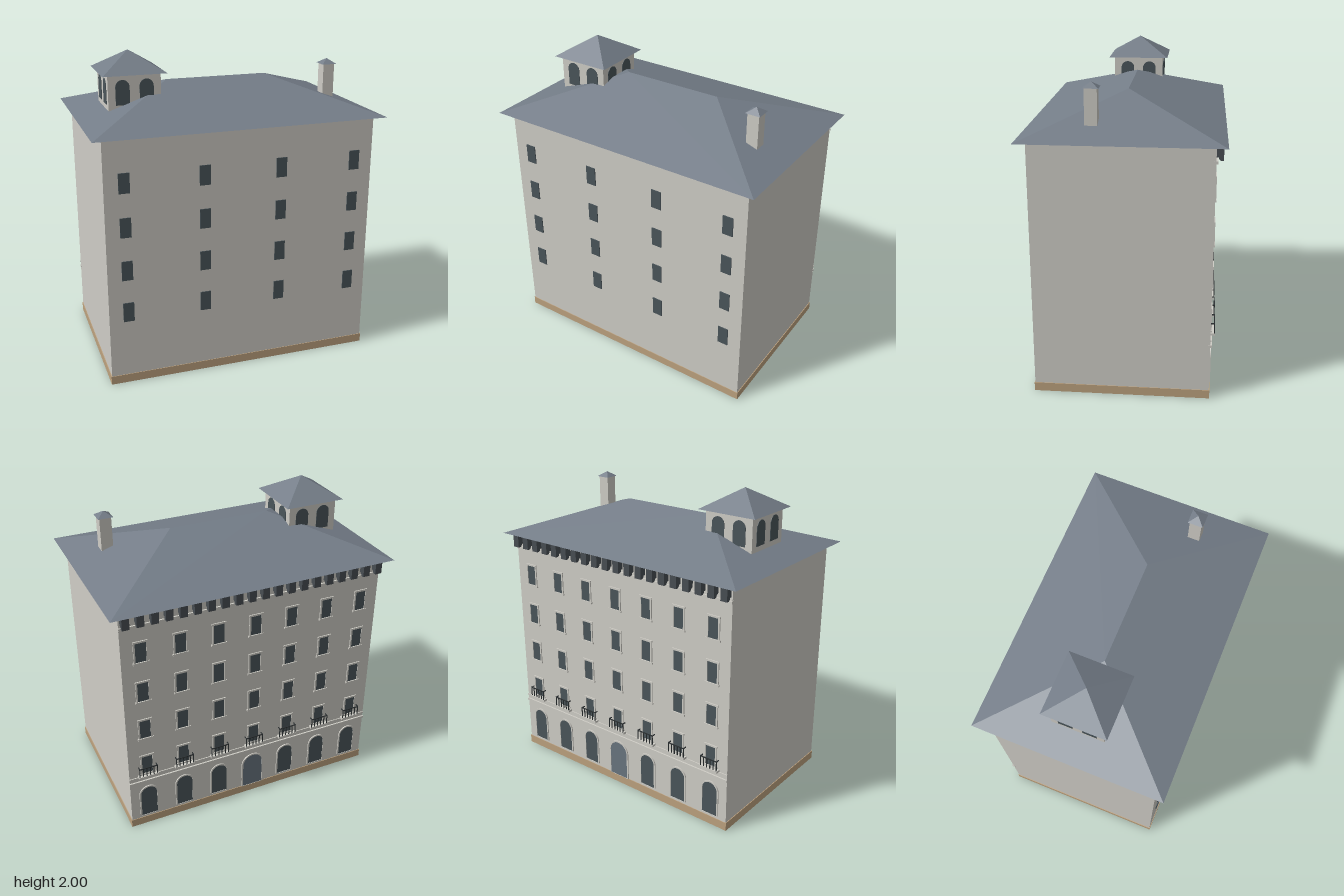
import * as THREE from 'three';
import { ConvexGeometry } from 'three/addons/geometries/ConvexGeometry.js';

const mat = (name, color) => {
  const m = new THREE.MeshStandardMaterial({ color });
  m.name = name;
  return m;
};

export function createModel() {
  const stone = mat('pale stone', 0xcfcdc6);
  const plinthMat = mat('tan plinth', 0xbda27f);
  const slate = mat('slate roof', 0x747d88);
  const glass = mat('dark glass', 0x4a555a);
  const doorMat = mat('grey door', 0x69757f);
  const iron = mat('dark iron', 0x2c3133);
  const corbelMat = mat('dark corbel', 0x484e53);

  const model = new THREE.Group();
  model.name = 'townhouse';

  const add = (parent, name, geometry, material, x = 0, y = 0, z = 0) => {
    const mesh = new THREE.Mesh(geometry, material);
    mesh.name = name;
    mesh.position.set(x, y, z);
    parent.add(mesh);
    return mesh;
  };
  const box = (parent, name, w, h, d, material, x, y, z) =>
    add(parent, name, new THREE.BoxGeometry(w, h, d), material, x, y, z);
  const group = (parent, name, x = 0, y = 0, z = 0, turn = 0) => {
    const g = new THREE.Group();
    g.name = name;
    g.position.set(x, y, z);
    g.rotation.y = turn;
    parent.add(g);
    return g;
  };

  // Hipped roof; a zero ridge makes a pyramid
  const hipRoof = (parent, name, hx, hz, ridge, y0, y1, x, z) => {
    const pts = [];
    for (const sx of [-1, 1]) {
      for (const sz of [-1, 1]) pts.push(new THREE.Vector3(sx * hx, y0, sz * hz));
      if (ridge || sx > 0) pts.push(new THREE.Vector3(sx * ridge, y1, 0));
    }
    add(parent, name, new ConvexGeometry(pts), slate, x, 0, z);
  };

  // Round-headed panel standing on y = 0 and facing +z
  const archOutline = (target, w, h) => {
    const r = w / 2;
    target.moveTo(-r, 0);
    target.lineTo(r, 0);
    target.lineTo(r, h - r);
    target.absarc(0, h - r, r, 0, Math.PI, false);
    target.lineTo(-r, 0);
    return target;
  };
  const archPanel = (w, h, depth, rim = 0) => {
    const shape = archOutline(new THREE.Shape(), w + rim * 2, h + rim);
    if (rim) shape.holes.push(archOutline(new THREE.Path(), w, h + 0.0001));
    return new THREE.ExtrudeGeometry(shape, { depth, bevelEnabled: false, curveSegments: 12 });
  };

  // Main block
  box(model, 'plinth', 1.735, 0.055, 1.078, plinthMat, 0, 0.0275, 0);
  box(model, 'walls', 1.726, 1.54, 1.07, stone, 0, 0.825, 0);
  hipRoof(model, 'mainRoof', 0.925, 0.6, 0.33, 1.592, 1.8, 0, 0);

  const bay = 0.247;
  const floors = [0.487, 0.763, 1.04, 1.317];

  // Plain windows on the front
  const front = group(model, 'frontWindows', 0, 0, 0.535);
  for (const i of [-3, -1, 1, 3])
    for (const y of floors) box(front, 'window', 0.068, 0.125, 0.012, glass, i * bay, y, 0);

  // Richer facade on the back
  const back = group(model, 'backFacade', 0, 0, -0.535, Math.PI);
  box(back, 'stringCourse', 1.73, 0.016, 0.02, stone, 0, 0.355, 0);
  box(back, 'sillCourse', 1.73, 0.012, 0.012, stone, 0, 0.392, 0);
  box(back, 'upperCourse', 1.73, 0.016, 0.02, stone, 0, 1.497, 0);

  for (let i = -3; i <= 3; i++) {
    const x = i * bay;
    for (const y of floors) {
      const win = group(back, 'framedWindow', x, y);
      box(win, 'pane', 0.07, 0.13, 0.006, glass, 0, 0, 0);
      for (const s of [-1, 1]) box(win, 'jamb', 0.011, 0.13, 0.014, stone, s * 0.04, 0, 0);
      box(win, 'lintel', 0.094, 0.012, 0.014, stone, 0, 0.071, 0);
      box(win, 'sill', 0.102, 0.012, 0.02, stone, 0, -0.071, 0);
    }

    // Ground floor arches with the door in the middle
    const isDoor = i === 0;
    const w = isDoor ? 0.14 : 0.108;
    const y0 = isDoor ? 0.055 : 0.075;
    const h = isDoor ? 0.25 : 0.225;
    add(back, isDoor ? 'door' : 'archWindow', archPanel(w, h, 0.004), isDoor ? doorMat : glass, x, y0, 0);
    add(back, 'archSurround', archPanel(w, h, 0.007, 0.01), stone, x, y0, 0);

    // Balcony with iron rail
    const balcony = group(back, 'balcony', x, 0.4);
    box(balcony, 'slab', 0.13, 0.014, 0.028, stone, 0, 0.004, 0.014);
    box(balcony, 'topRail', 0.122, 0.006, 0.005, iron, 0, 0.074, 0.024);
    for (let b = 0; b < 6; b++)
      box(balcony, 'baluster', 0.005, 0.065, 0.005, iron, -0.0585 + b * 0.0234, 0.043, 0.024);
    for (const s of [-1, 1]) box(balcony, 'sideRail', 0.005, 0.006, 0.026, iron, s * 0.0585, 0.074, 0.013);
  }

  // Row of corbels under the eaves
  const profile = new THREE.Shape();
  profile.moveTo(0, 1.592);
  profile.lineTo(0, 1.525);
  profile.lineTo(0.012, 1.525);
  profile.quadraticCurveTo(0.016, 1.506, 0.028, 1.506);
  profile.lineTo(0.041, 1.506);
  profile.lineTo(0.041, 1.592);
  const corbelGeo = new THREE.ExtrudeGeometry(profile, { depth: 0.045, bevelEnabled: false, curveSegments: 4 });
  corbelGeo.translate(0, 0, -0.0225);
  corbelGeo.rotateY(-Math.PI / 2);
  const corbels = group(back, 'corbels');
  for (let i = 0; i < 20; i++) add(corbels, 'corbel', corbelGeo, corbelMat, -0.831 + i * 0.0875, 0, 0);

  // Roof lantern with two arches on every side
  const lantern = group(model, 'lantern', -0.575, 0, 0);
  box(lantern, 'lanternWalls', 0.33, 0.27, 0.33, stone, 0, 1.74, 0);
  hipRoof(lantern, 'lanternRoof', 0.2, 0.2, 0, 1.875, 2, 0, 0);
  for (let k = 0; k < 4; k++) {
    const side = group(lantern, 'lanternSide', 0, 0, 0, (k * Math.PI) / 2);
    for (const s of [-1, 1]) add(side, 'lanternArch', archPanel(0.088, 0.155, 0.004), glass, s * 0.075, 1.69, 0.164);
  }

  // Chimney
  const chimney = group(model, 'chimney', 0.695, 0, 0.18);
  box(chimney, 'chimneyStack', 0.075, 0.24, 0.075, stone, 0, 1.76, 0);
  hipRoof(chimney, 'chimneyCap', 0.048, 0.048, 0, 1.874, 1.907, 0, 0);

  return model;
}
